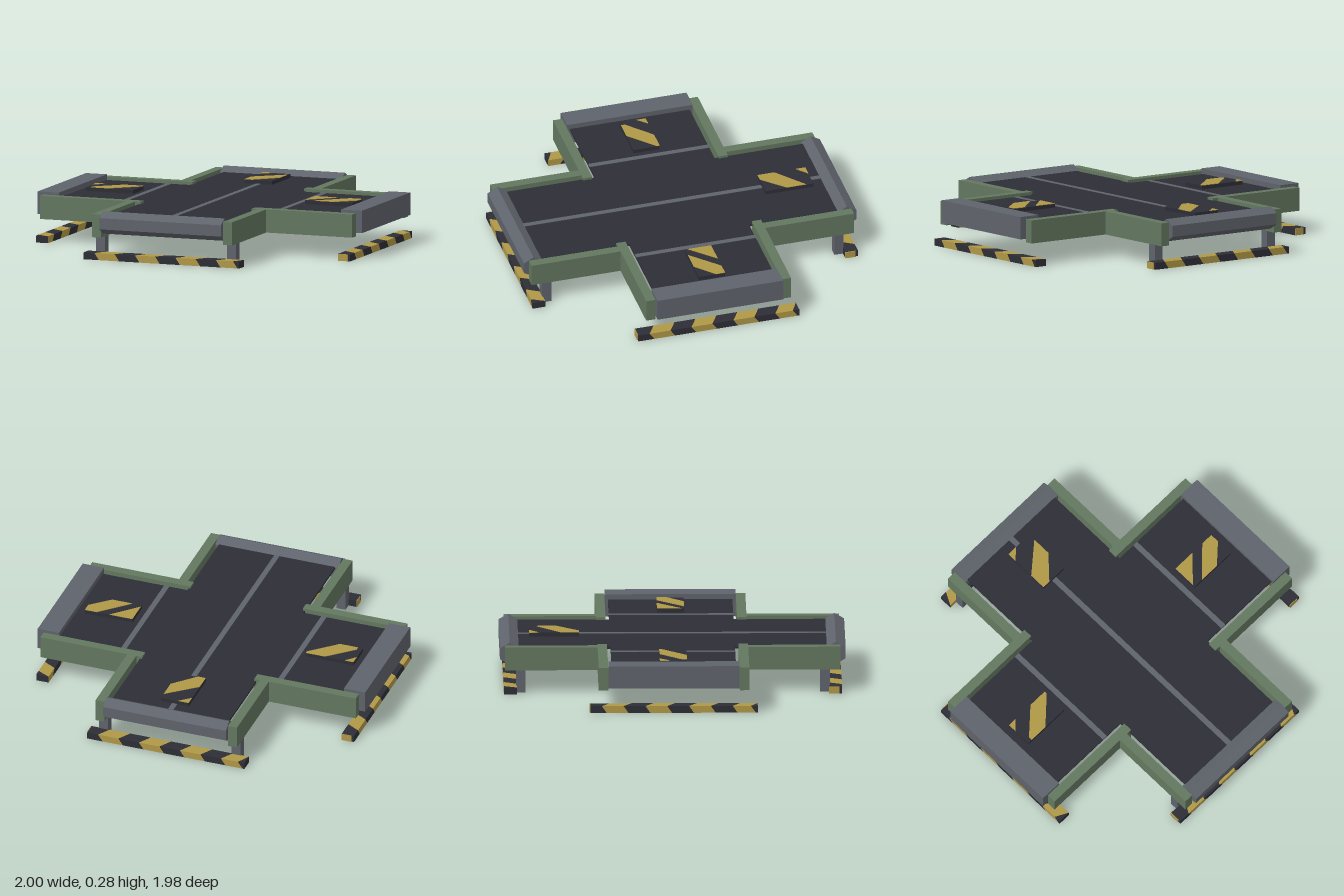
import * as THREE from 'three';

const mat = (name, color) => {
  const m = new THREE.MeshStandardMaterial({ color });
  m.name = name;
  return m;
};

export function createModel() {
  const root = new THREE.Group();
  root.name = 'crossPlatform';
  const dark = mat('charcoal', 0x2d2d36);
  const grey = mat('steelGrey', 0x5f636b);
  const green = mat('dullGreen', 0x63775f);
  const gold = mat('hazardYellow', 0xb09847);

  const add = (name, geometry, material, parent = root) => {
    const m = new THREE.Mesh(geometry, material);
    m.name = name;
    parent.add(m);
    return m;
  };
  // Box given by its limits on each axis
  const box = (name, material, x0, x1, y0, y1, z0, z1, parent) => {
    const m = add(name, new THREE.BoxGeometry(x1 - x0, y1 - y0, z1 - z0), material, parent);
    m.position.set((x0 + x1) / 2, (y0 + y1) / 2, (z0 + z1) / 2);
    return m;
  };

  // Thin cross-shaped deck with seams showing above and below
  const top = 0.25, under = 0.238;
  box('deckLong', dark, -0.355, 0.355, under, top, -0.9, 0.9);
  box('centreSeam', grey, -0.016, 0.016, under - 0.002, top + 0.002, -0.89, 0.89);
  for (const s of [-1, 1]) {
    const arm = box('deckArm', dark, -0.265, 0.265, under, top, -0.357, 0.357);
    arm.position.x = s * 0.62;
    const seam = box('armSeam', grey, -0.016, 0.016, under - 0.002, top + 0.002, -0.357, 0.357);
    seam.position.x = s * 0.48;

    // Square end beams on the side arms, six-sided ones front and back
    const beam = box('sideEndBeam', grey, -0.065, 0.065, 0.15, 0.28, -0.375, 0.375);
    beam.position.x = s * 0.935;
    const hex = new THREE.CylinderGeometry(0.065, 0.065, 0.75, 6).toNonIndexed();
    hex.rotateZ(Math.PI / 2);
    hex.computeBoundingBox();
    // A corner points up, a flat face points outward
    if (hex.boundingBox.max.y < 0.06) hex.rotateX(Math.PI / 6);
    hex.computeVertexNormals();
    add('endBeam', hex, grey).position.set(0, 0.215, s * 0.935);
  }

  // Green rails around the four inner corners, with a leg at each end
  for (const sx of [-1, 1]) for (const sz of [-1, 1]) {
    const place = (m, x, z) => { m.position.x = sx * x; m.position.z = sz * z; };
    place(box('armRail', green, -0.31, 0.31, 0.13, 0.264, -0.0275, 0.0275), 0.653, 0.4045);
    place(box('longRail', green, -0.0275, 0.0275, 0.13, 0.264, -0.265, 0.265), 0.4045, 0.697);
    place(box('leg', grey, -0.0275, 0.0275, 0, 0.131, -0.0275, 0.0275), 0.4045, 0.872);
  }

  // Hazard bars near the ground: segments with slanted joints
  const joints = [-0.48, -0.4, -0.275, -0.15, -0.025, 0.1, 0.225, 0.35, 0.455, 0.48];
  const last = joints.length - 1;
  for (let k = 0; k < 4; k++) {
    const bar = new THREE.Group();
    bar.name = 'hazardBar';
    bar.rotation.y = k * Math.PI / 2;
    root.add(bar);
    for (let i = 0; i < last; i++) {
      const g = new THREE.BoxGeometry(1, 0.04, 0.075);
      g.translate(0, 0.02, 0.9325);
      const p = g.attributes.position;
      for (let v = 0; v < p.count; v++) {
        const j = p.getX(v) < 0 ? i : i + 1;
        const slant = j === 0 || j === last ? 0 : (0.02 - p.getY(v)) * 0.7 + (0.97 - p.getZ(v)) * 0.6;
        p.setX(v, Math.min(0.48, joints[j] + slant));
      }
      const flat = g.toNonIndexed();
      flat.computeVertexNormals();
      add('barSegment', flat, i % 2 ? gold : dark, bar);
    }
    box('barEndPlate', gold, -0.484, -0.48, 0, 0.04, 0.895, 0.955, bar);
  }

  // Raised pads with diagonal stripes; stripe points are fractions of the pad (u right, v back)
  const pad = (x0, x1, z0, z1, stripes) => {
    const g = new THREE.Group();
    g.name = 'hazardPad';
    root.add(g);
    box('padPlate', dark, x0, x1, top, 0.272, z0, z1, g);
    for (const pts of stripes) {
      const shape = new THREE.Shape(pts.map(([u, v]) =>
        new THREE.Vector2(x0 + u * (x1 - x0), -z1 + v * (z1 - z0))));
      const geo = new THREE.ExtrudeGeometry(shape, { depth: 0.003, bevelEnabled: false });
      geo.rotateX(-Math.PI / 2);
      add('padStripe', geo, gold, g).position.y = 0.272;
    }
  };
  pad(-0.82, -0.53, -0.08, 0.076, [
    [[0, 0.65], [0.18, 1], [0, 1]],
    [[0.1, 0], [0.48, 0], [1, 0.9], [1, 1], [0.6, 1], [0.1, 0.15]],
  ]);
  pad(0.53, 0.82, -0.08, 0.076, [
    [[0, 0.1], [0.48, 1], [0, 1]],
    [[0.2, 0], [0.62, 0], [1, 0.65], [1, 1], [0.75, 1]],
  ]);
  pad(-0.085, 0.083, -0.82, -0.535, [
    [[0, 0.8], [0.38, 1], [0, 1]],
    [[0, 0], [0.28, 0], [1, 0.45], [1, 0.85], [0, 0.35]],
  ]);

  return root;
}
